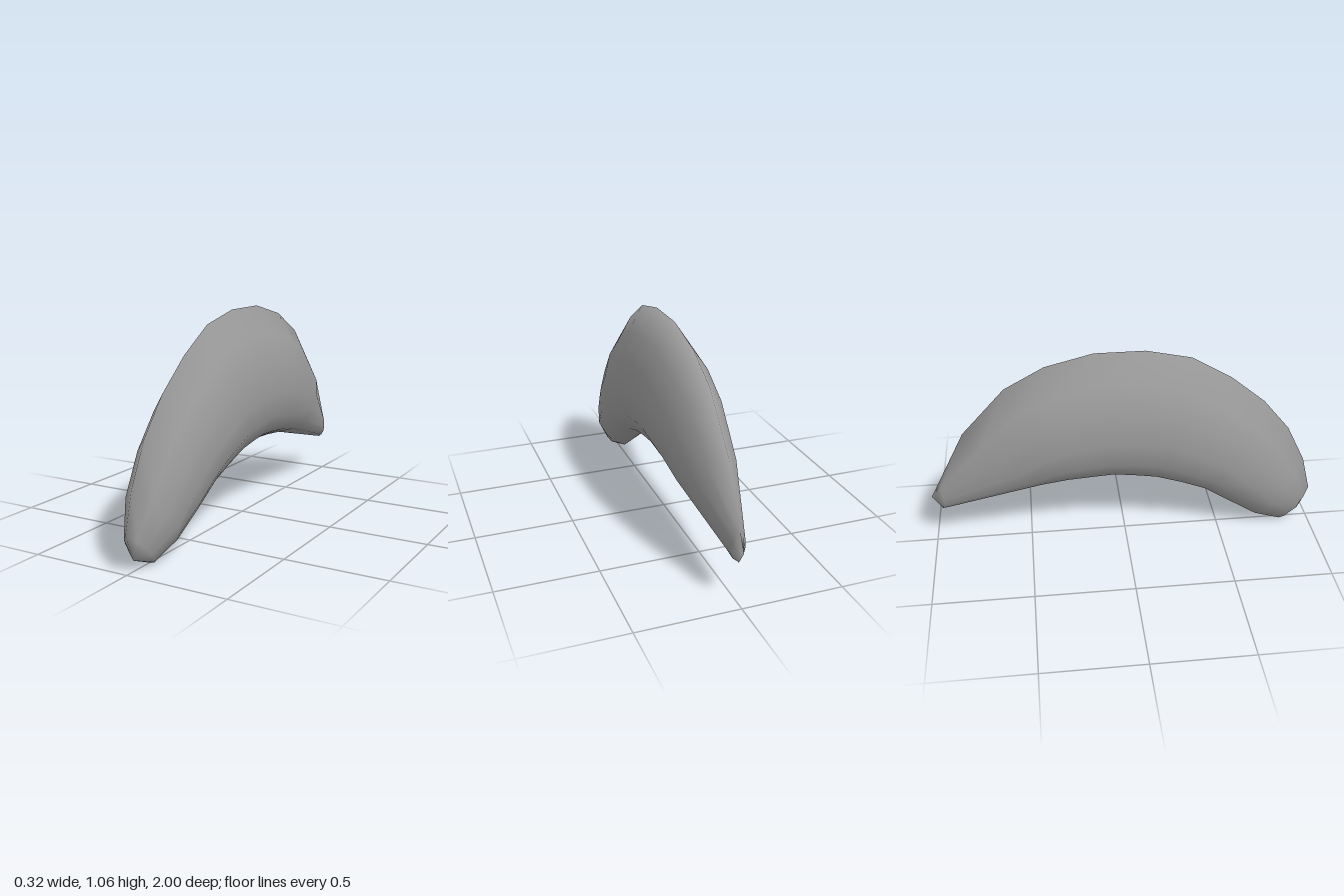
import * as THREE from 'three';
import { mergeVertices } from 'three/addons/utils/BufferGeometryUtils.js';

// Stations from front to back: outer z, outer y, inner z, inner y, half width, inner fullness
const STATIONS = [
  [0.95, 0.05, 0.95, 0.05, 0, 1],
  [1.0, 0.18, 0.83, 0.0, 0.06, 1],
  [0.95, 0.37, 0.68, 0.055, 0.125, 0.85],
  [0.85, 0.57, 0.53, 0.155, 0.145, 0.95],
  [0.71, 0.74, 0.39, 0.25, 0.155, 1],
  [0.53, 0.89, 0.27, 0.295, 0.16, 1],
  [0.33, 1.01, 0.14, 0.335, 0.161, 1],
  [0.10, 1.06, 0.03, 0.352, 0.161, 1],
  [-0.15, 1.06, -0.06, 0.365, 0.161, 1],
  [-0.39, 1.0, -0.18, 0.36, 0.159, 1],
  [-0.59, 0.89, -0.28, 0.355, 0.148, 1],
  [-0.81, 0.65, -0.41, 0.342, 0.127, 1],
  [-0.95, 0.377, -0.93, 0.21, 0.036, 1],
  [-1.0, 0.28, -0.95, 0.205, 0, 1],
];

// Half cross-section: fraction from outer to inner ridge, fraction of half width
const HALF = [[0, 0], [0.19, 0.57], [0.4, 0.89], [0.62, 1], [0.8, 0.9], [0.93, 0.58], [1, 0]];
const SECTION = [...HALF, ...HALF.slice(1, -1).reverse().map(([t, w]) => [t, -w])];

// Loft the section through the stations; zero width closes each end to a point or edge
function loft() {
  const positions = [];
  const index = [];
  const n = SECTION.length;
  STATIONS.forEach(([oz, oy, iz, iy, half, fullness], i) => {
    SECTION.forEach(([t, w], j) => {
      const x = w * half * (t > 0.7 ? fullness : 1);
      positions.push(x, oy + (iy - oy) * t, oz + (iz - oz) * t);
      if (i === STATIONS.length - 1) return;
      const a = i * n + j;
      const b = i * n + ((j + 1) % n);
      index.push(a, b, a + n, b, b + n, a + n);
    });
  });
  const geometry = new THREE.BufferGeometry();
  geometry.setAttribute('position', new THREE.Float32BufferAttribute(positions, 3));
  geometry.setIndex(index);
  const merged = mergeVertices(geometry, 1e-4);
  merged.computeVertexNormals();
  return merged;
}

export function createModel() {
  const group = new THREE.Group();
  group.name = 'curvedHorn';
  const body = new THREE.Mesh(loft(), new THREE.MeshStandardMaterial({ color: 0x9a9a9a }));
  body.name = 'hornBody';
  group.add(body);
  return group;
}
